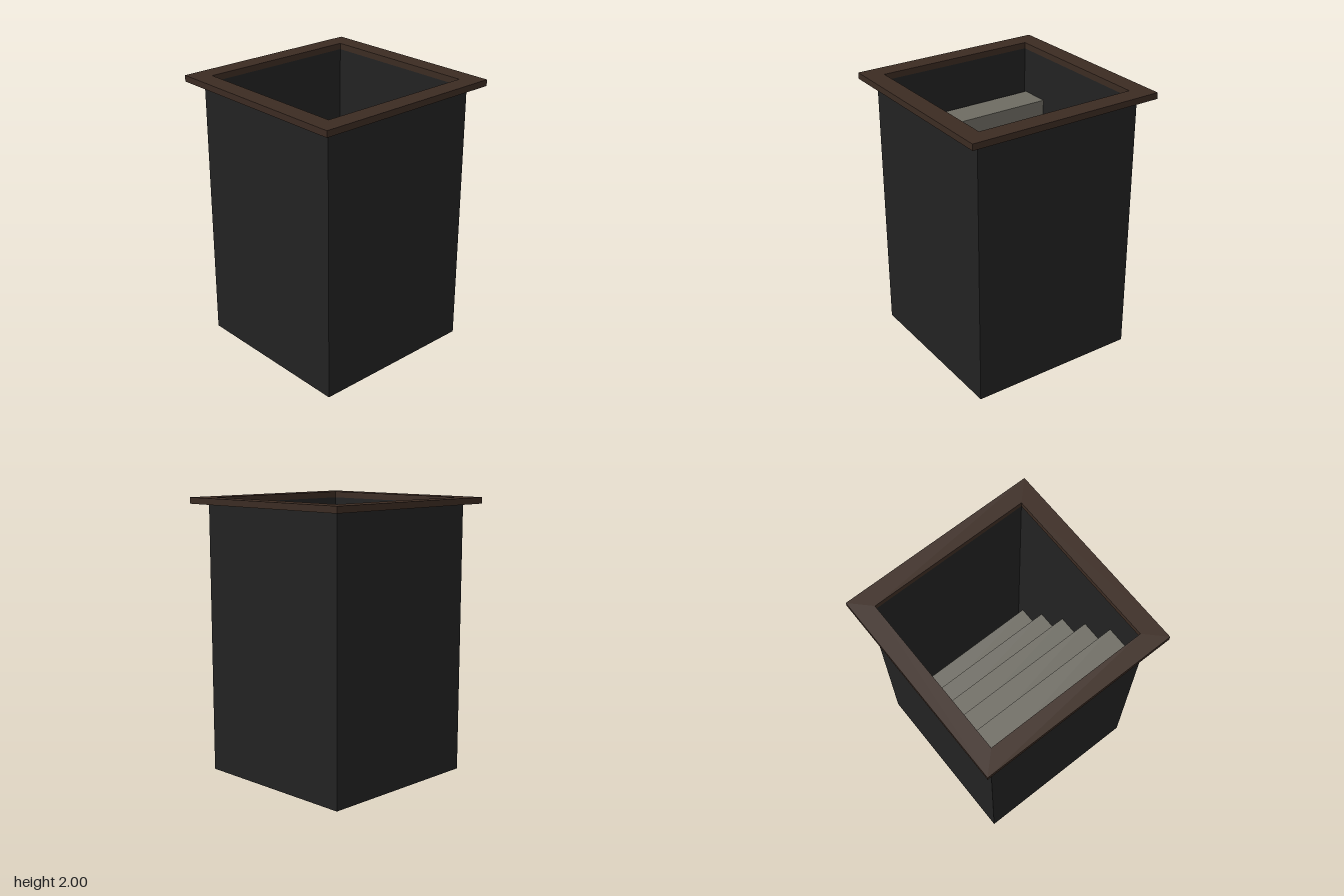
import * as THREE from 'three';

export function createModel() {
  const group = new THREE.Group();
  group.name = 'stairShaft';

  const material = (name, color) => {
    const m = new THREE.MeshStandardMaterial({ color });
    m.name = name;
    return m;
  };
  const wallMat = material('darkWall', 0x222222);
  const rimMat = material('brownRim', 0x3b2b22);
  const stoneMat = material('greyStone', 0x6d6b62);

  // Square tube standing upright, open at both ends
  const squareTube = (name, outer, inner, y0, y1, mat) => {
    const square = (Type, h) => new Type([
      new THREE.Vector2(-h, -h), new THREE.Vector2(h, -h),
      new THREE.Vector2(h, h), new THREE.Vector2(-h, h),
    ]);
    const shape = square(THREE.Shape, outer);
    shape.holes.push(square(THREE.Path, inner));
    const geo = new THREE.ExtrudeGeometry(shape, { depth: y1 - y0, bevelEnabled: false });
    geo.rotateX(-Math.PI / 2);
    const mesh = new THREE.Mesh(geo, mat);
    mesh.name = name;
    mesh.position.y = y0;
    group.add(mesh);
  };

  // Shaft walls and the flat frame around the opening
  squareTube('shaftWalls', 0.635, 0.6, 0, 1.955, wallMat);
  squareTube('rim', 0.73, 0.597, 1.955, 2, rimMat);

  // Solid steps rising from the back towards the front
  const steps = 5, rise = 0.323, run = 0.226, back = -0.547;
  for (let i = 0; i < steps; i++) {
    const height = rise * (i + 1);
    const step = new THREE.Mesh(new THREE.BoxGeometry(1.2, height, run), stoneMat);
    step.name = `step${i + 1}`;
    step.position.set(0, height / 2, back + run * (i + 0.5));
    group.add(step);
  }

  return group;
}
